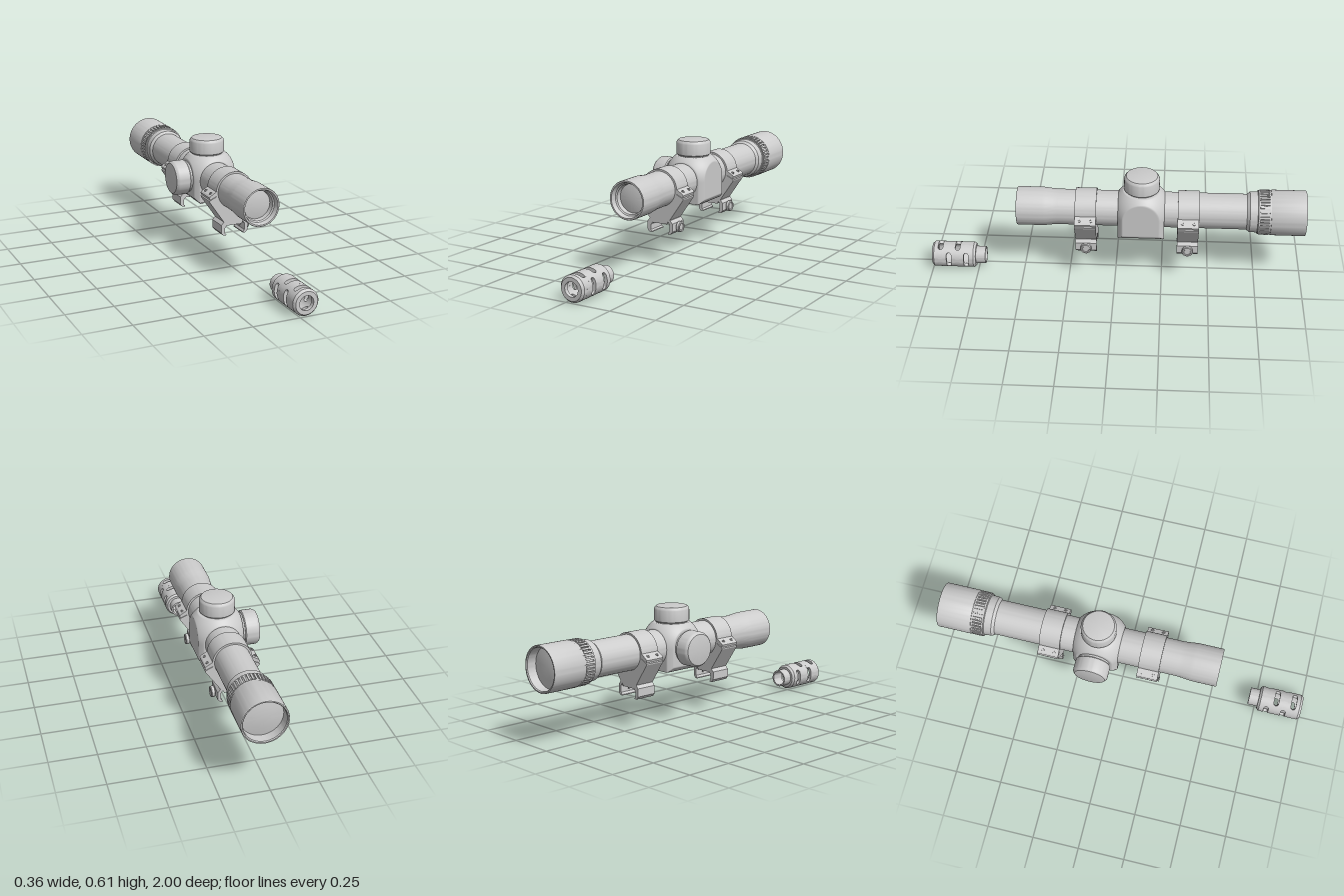
import * as THREE from 'three';
import { toCreasedNormals, mergeVertices } from 'three/addons/utils/BufferGeometryUtils.js';

const AX = 0.033, AY = 0.402;          // optical axis
const SADDLE_Z = -0.137;
const material = new THREE.MeshStandardMaterial({ color: 0xcccccc });

function add(parent, name, geometry, x = 0, y = 0, z = 0) {
  const mesh = new THREE.Mesh(geometry, material);
  mesh.name = name;
  mesh.position.set(x, y, z);
  parent.add(mesh);
  return mesh;
}

// Turned part about y; profile runs upward along the outside
function turned(points, segments = 64) {
  const g = new THREE.LatheGeometry(points.map(p => new THREE.Vector2(...p)), segments);
  return toCreasedNormals(g, 0.45);
}

// Turned part about z
const turnedZ = (points, segments) => turned(points, segments).rotateX(Math.PI / 2);

function extruded(points, depth) {
  const shape = new THREE.Shape(points.map(p => new THREE.Vector2(...p)));
  return new THREE.ExtrudeGeometry(shape, { depth, bevelEnabled: false }).translate(0, 0, -depth / 2);
}

// Saddle: ball flattened by a box, with a straight-sided, barrel-shaped underside
function saddleGeometry() {
  const R = 0.156, half = 0.122;
  let g = new THREE.BoxGeometry(2, 2, 2, 48, 48, 48);
  g.deleteAttribute('uv');
  g.deleteAttribute('normal');
  g = mergeVertices(g);
  const p = g.attributes.position;
  for (let i = 0; i < p.count; i++) {
    const x = p.getX(i), y = p.getY(i), z = p.getZ(i);
    let t = half / Math.max(Math.abs(x), Math.abs(y), Math.abs(z));
    if (y >= 0) t = Math.min(t, R / Math.hypot(x, y, z));
    else t = Math.min(t, R / Math.hypot(x, z), R / Math.hypot(x, y));
    p.setXYZ(i, x * t, y * t, z * t);
  }
  g.computeVertexNormals();
  return g;
}

function scopeBody(parent) {
  add(parent, 'scopeTube', turnedZ([
    [0, -0.957], [0.06, -0.954], [0.106, -0.946], [0.108, -0.995], [0.112, -1], [0.118, -1],
    [0.12, -0.996], [0.12, -0.82], [0.118, -0.815], [0.112, -0.815], [0.112, -0.748],
    [0.108, -0.745], [0.106, -0.705], [0.094, -0.69], [0.094, 0.30], [0.096, 0.33],
    [0.1, 0.365], [0.102, 0.385], [0.102, 0.518], [0.1, 0.521], [0.092, 0.521],
    [0.088, 0.51], [0.085, 0.495], [0.078, 0.49], [0.075, 0.465], [0.05, 0.47], [0, 0.474]
  ], 80), AX, AY, 0);

  // Knurled zoom ring
  const ring = new THREE.Group();
  ring.name = 'zoomRing';
  ring.position.set(AX, AY, -0.781);
  parent.add(ring);
  const ridge = new THREE.BoxGeometry(0.011, 0.012, 0.05);
  for (let i = 0; i < 40; i++) {
    const a = i / 40 * Math.PI * 2;
    add(ring, 'ridge', ridge, Math.sin(a) * 0.113, Math.cos(a) * 0.113, 0).rotation.z = -a;
  }
  for (const z of [-0.029, 0.029]) {
    add(ring, 'ringBand', turnedZ([[0.09, -0.004], [0.117, -0.004], [0.117, 0.004], [0.09, 0.004]]), 0, 0, z);
  }

  add(parent, 'saddle', saddleGeometry(), AX + 0.003, AY, SADDLE_Z);

  // Capped adjusters on the top and on the right
  const cap = turned([
    [0.084, -0.02], [0.084, 0.004], [0.088, 0.004], [0.093, 0.009], [0.093, 0.068],
    [0.09, 0.076], [0.082, 0.085], [0.078, 0.086], [0, 0.086]
  ]);
  add(parent, 'topAdjuster', cap, AX, AY + 0.122, SADDLE_Z);
  add(parent, 'sideAdjuster', cap, AX - 0.127, AY, SADDLE_Z).rotation.z = Math.PI / 2;
}

// Ring mount with its rail clamp; coordinates relative to the optical axis
function mount(parent, name, z) {
  const group = new THREE.Group();
  group.name = name;
  group.position.set(AX, AY, z);
  parent.add(group);
  const depth = 0.112;

  add(group, 'ring', turnedZ([[0.09, -0.056], [0.104, -0.056], [0.104, 0.056], [0.09, 0.056]]));

  // Lower half with the fixed rail hook
  add(group, 'base', extruded([
    [-0.06, 0], [-0.096, -0.017], [-0.143, -0.038], [-0.141, -0.046], [-0.06, -0.164],
    [-0.075, -0.18], [-0.075, -0.223], [-0.063, -0.238], [-0.046, -0.238], [-0.046, -0.233],
    [-0.054, -0.226], [-0.054, -0.2], [-0.044, -0.185], [0.043, -0.185], [0.05, -0.17],
    [0.06, -0.164], [0.141, -0.046], [0.143, -0.038], [0.096, -0.017], [0.06, 0]
  ].map(([x, y]) => [x, y]), depth).translate(0, 0, 0));

  // Bolted wings of the upper half
  const screw = turned([[0.0085, -0.012], [0.0085, 0.003], [0.005, 0.003], [0.005, -0.001], [0, -0.001]], 16);
  for (const s of [-1, 1]) {
    const wing = [[0.094, 0.012], [0.102, 0.008], [0.137, -0.013], [0.143, -0.021], [0.139, -0.033], [0.092, -0.012]];
    add(group, 'wing', extruded(wing.map(([x, y]) => [s * x, y]), depth));
    for (const dz of [-0.03, 0.03]) {
      add(group, 'wingScrew', screw, s * 0.125, -0.005, dz).rotation.z = -s * 0.54;
    }
  }

  // Movable clamp and its knob
  add(group, 'clampJaw', extruded([
    [0.044, -0.163], [0.064, -0.163], [0.077, -0.18], [0.077, -0.223], [0.064, -0.238],
    [0.051, -0.238], [0.051, -0.233], [0.059, -0.222], [0.059, -0.184]
  ], depth));
  const knob = turned([
    [0.01, -0.03], [0.01, 0], [0.026, 0], [0.029, 0.003], [0.029, 0.017], [0.026, 0.021],
    [0.019, 0.021], [0.017, 0.017], [0, 0.017]
  ], 32);
  add(group, 'clampKnob', knob, 0.081, -0.203, 0).rotation.z = -Math.PI / 2;
}

// Wall piece left between two opposite round-ended slots
function webGeometry(inner, outer, width) {
  const g = new THREE.BoxGeometry(2, 1, width, 20, 1, 12);
  const p = g.attributes.position;
  for (let i = 0; i < p.count; i++) {
    const z = p.getZ(i), r = p.getY(i) > 0 ? outer : inner;
    const rounding = width / 2 - Math.sqrt(Math.max(0, width * width / 4 - z * z));
    const a = p.getX(i) * (Math.PI / 2 - 0.67 + rounding / outer);
    p.setXYZ(i, r * Math.sin(a), r * Math.cos(a), z);
  }
  return toCreasedNormals(g, 0.6);
}

function muzzleBrake(parent) {
  const group = new THREE.Group();
  group.name = 'muzzleBrake';
  group.position.set(AX, 0.07, 0);
  parent.add(group);
  const inner = 0.052, outer = 0.069, width = 0.026;
  const slots = [0.813, 0.86, 0.907, 0.954];
  const h = width / 2;

  add(group, 'rearCollar', turnedZ([
    [0.038, 0.71], [0.047, 0.71], [0.047, 0.762], [0.06, 0.762], [outer, 0.774],
    [outer, slots[0] - h], [inner, slots[0] - h], [inner, 0.78], [0.038, 0.775], [0.038, 0.71]
  ], 48));
  add(group, 'frontCollar', turnedZ([
    [inner, slots[3] + h], [outer, slots[3] + h], [outer, 0.988], [0.059, 1],
    [0.038, 1], [0.038, 0.978], [inner, 0.978], [inner, slots[3] + h]
  ], 48));
  for (let i = 0; i < 3; i++) {
    const a = slots[i] + h, b = slots[i + 1] - h;
    add(group, 'band', turnedZ([[inner, a], [outer, a], [outer, b], [inner, b], [inner, a]], 48));
  }

  // Slots alternate between the sides and the top and bottom
  const web = webGeometry(inner, outer, width);
  slots.forEach((z, i) => {
    for (const turn of [0, Math.PI]) {
      add(group, 'web', web, 0, 0, z).rotation.z = turn + (i % 2) * Math.PI / 2;
    }
  });
}

export function createModel() {
  const model = new THREE.Group();
  model.name = 'scopeAndMuzzleBrake';
  scopeBody(model);
  mount(model, 'frontMount', 0.155);
  mount(model, 'rearMount', -0.385);
  muzzleBrake(model);
  return model;
}
